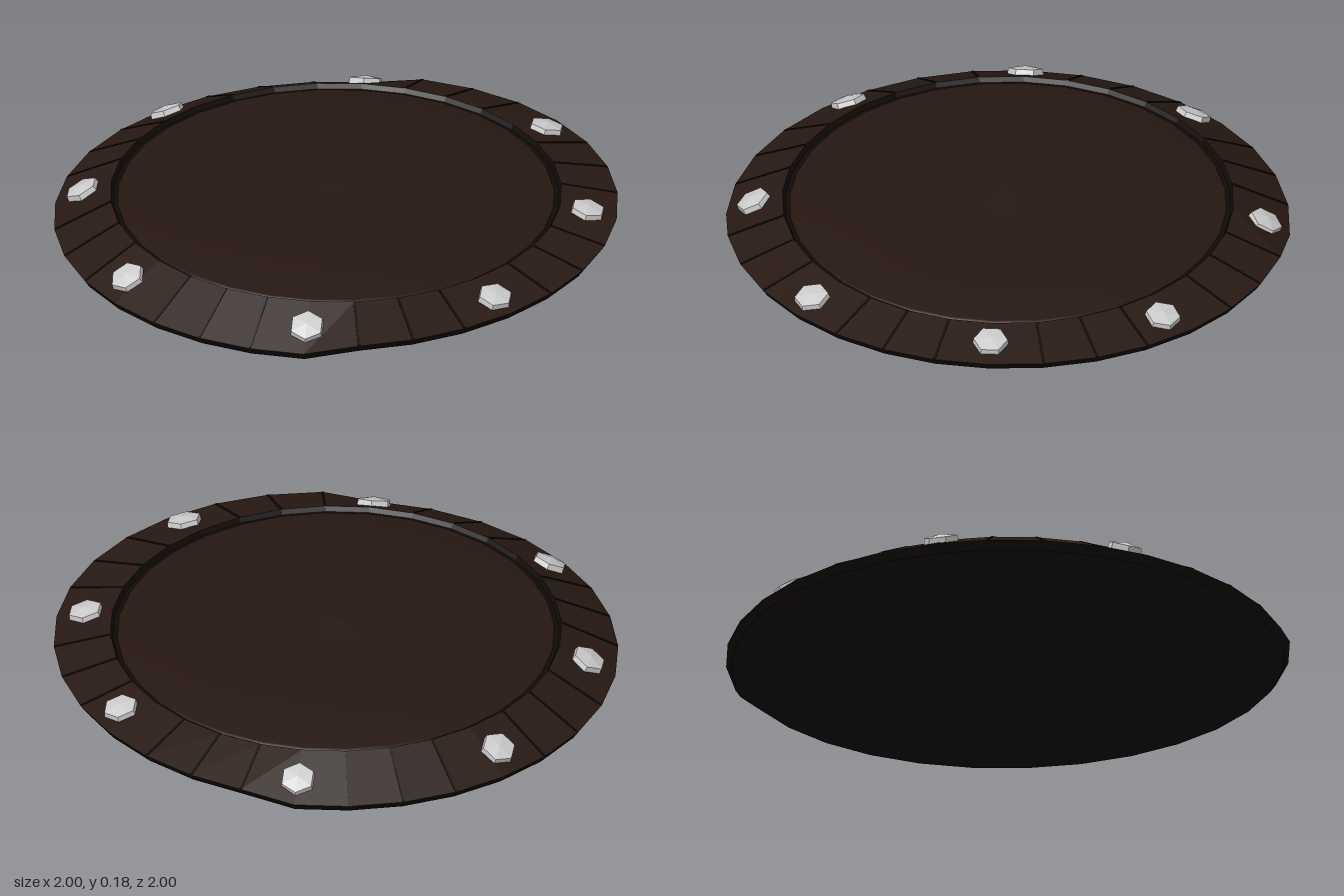
import * as THREE from 'three';

const SIDES = 32;

// Underside lifts on the +x half, so the disc is slightly warped
function lift(x) {
  if (x <= 0) return 0;
  return x < 0.195 ? 0.035 * x / 0.195 : 0.035 + 0.025 * (x - 0.195) / 0.805;
}

// Hand-hewn height of the board at ring i (every 0.2 of radius)
function boardHeight(i, a) {
  const left = [0.178, 0.168, 0.155, 0.143];
  const right = [0.178, 0.153, 0.150, 0.145];
  const ends = [0.178, 0.153, 0.163, 0.149];
  const c = Math.cos(a), w = c * c;
  return ends[i] * (1 - w) + (c < 0 ? left : right)[i] * w;
}

// Skin a list of rings; each is [radius, height(angle, x)], ordered from outside in on top
function skinRings(rings) {
  const pos = [], index = [];
  for (const [r, h] of rings) {
    for (let k = 0; k < SIDES; k++) {
      const a = k / SIDES * Math.PI * 2, x = r * Math.cos(a);
      pos.push(x, h(a, x), r * Math.sin(a));
    }
  }
  for (let j = 0; j < rings.length - 1; j++) {
    for (let k = 0; k < SIDES; k++) {
      const n = (k + 1) % SIDES;
      const a = j * SIDES + k, b = j * SIDES + n;
      const c = a + SIDES, d = b + SIDES;
      index.push(a, c, b, b, c, d);
    }
  }
  const g = new THREE.BufferGeometry();
  g.setAttribute('position', new THREE.Float32BufferAttribute(pos, 3));
  g.setIndex(index);
  g.computeVertexNormals();
  return g;
}

const rimLow = (a, x) => 0.03 + lift(x);
const rimHigh = () => 0.135;

// Point on the sloping top of the rim
function rimPoint(a, r) {
  const low = rimLow(a, Math.cos(a));
  return new THREE.Vector3(r * Math.cos(a), low + (0.135 - low) * (1 - r) / 0.2, r * Math.sin(a));
}

export function createModel() {
  const model = new THREE.Group();
  const wood = new THREE.MeshStandardMaterial({ color: 0x281913, flatShading: true });
  const boardWood = new THREE.MeshStandardMaterial({ color: 0x261712 });
  const dark = new THREE.MeshStandardMaterial({ color: 0x100a07, flatShading: true });
  const metal = new THREE.MeshStandardMaterial({ color: 0xcccccc, flatShading: true });

  const add = (name, geometry, material, parent = model) => {
    const mesh = new THREE.Mesh(geometry, material);
    mesh.name = name;
    parent.add(mesh);
    return mesh;
  };

  // Sloping rim
  add('rim', skinRings([[1, rimLow], [0.8, rimHigh]]), wood);

  // Dark step between rim and board
  add('innerStep', skinRings([[0.8, rimHigh], [0.79, () => 0.118], [0.775, () => 0.118]]), dark);

  // Uneven central board
  const board = [[0.775, () => 0.118], [0.77, () => 0.126]];
  for (let i = 3; i >= 0; i--) board.push([i * 0.2, a => boardHeight(i, a)]);
  add('board', skinRings(board), boardWood);

  // Narrow outer edge and underside
  add('underside', skinRings([
    [0, () => 0],
    [0.98, (a, x) => lift(x / 0.98)],
    [1, rimLow],
  ]), dark);

  // Seams between the rim planks; the planks carrying studs are double width
  const seams = new THREE.Group();
  seams.name = 'plankSeams';
  model.add(seams);
  for (let k = 0; k < SIDES; k++) {
    if (k % 4 === 0) continue;
    const a = k / SIDES * Math.PI * 2;
    const p = rimPoint(a, 0.997), q = rimPoint(a, 0.802);
    const seam = add('seam', new THREE.BoxGeometry(0.009, 0.004, p.distanceTo(q)), dark, seams);
    seam.position.copy(p).add(q).multiplyScalar(0.5);
    seam.lookAt(p);
  }

  // Hexagonal studs with shallow pointed heads, set square to the rim slope
  const studs = new THREE.Group();
  studs.name = 'studs';
  model.add(studs);
  const spots = [[0.895, 0], [0.64, 0.65], [0, 0.9], [-0.67, 0.61],
    [-0.9, 0], [-0.67, -0.61], [0, -0.91], [0.68, -0.595]];
  for (const [x, z] of spots) {
    const a = Math.atan2(z, x), r = Math.hypot(x, z);
    const slope = rimPoint(a, 0.8).sub(rimPoint(a, 1)).normalize();
    const around = new THREE.Vector3(-Math.sin(a), 0, Math.cos(a));
    const normal = slope.cross(around).normalize();
    if (normal.y < 0) normal.negate();
    const stud = new THREE.Group();
    stud.name = 'stud';
    stud.position.copy(rimPoint(a, r));
    stud.quaternion.setFromUnitVectors(new THREE.Vector3(0, 1, 0), normal);
    add('studBody', new THREE.CylinderGeometry(0.061, 0.065, 0.026, 6, 1, true), metal, stud).position.y = 0.005;
    add('studHead', new THREE.ConeGeometry(0.061, 0.01, 6, 1, true), metal, stud).position.y = 0.023;
    studs.add(stud);
  }

  return model;
}
